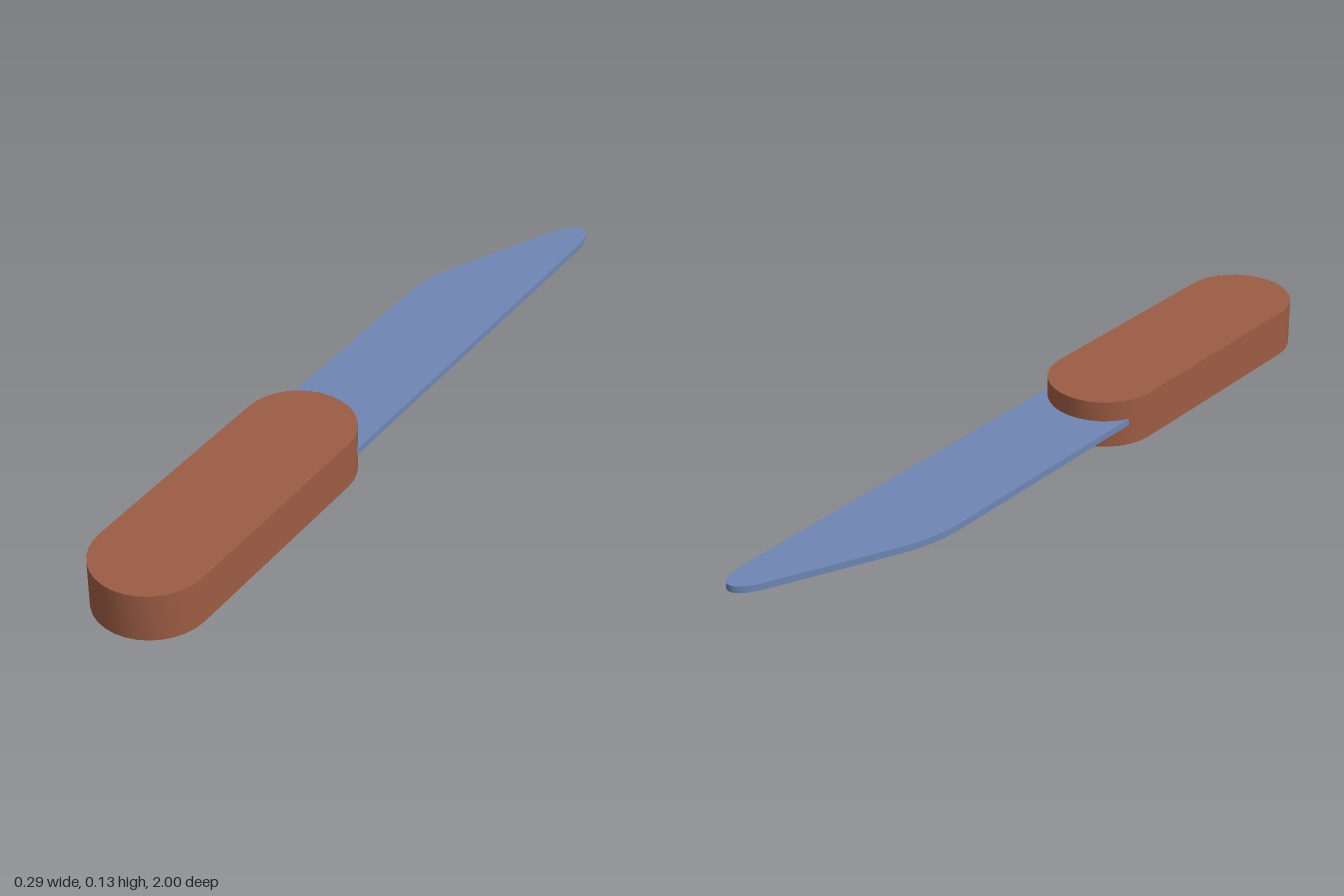
import * as THREE from 'three';
import { toCreasedNormals } from 'three/addons/utils/BufferGeometryUtils.js';

// Extrudes an outline drawn in (x, -z) upwards from y = bottom
function slab(name, shape, bottom, height, curveSegments, material) {
  const geometry = new THREE.ExtrudeGeometry(shape, { depth: height, bevelEnabled: false, curveSegments });
  geometry.rotateX(-Math.PI / 2);
  geometry.translate(0, bottom, 0);
  const mesh = new THREE.Mesh(toCreasedNormals(geometry, 0.7), material);
  mesh.name = name;
  return mesh;
}

export function createModel() {
  const brown = new THREE.MeshStandardMaterial({ color: 0x9c5c43 });
  brown.name = 'brown handle';
  const steel = new THREE.MeshStandardMaterial({ color: 0x6f86b4 });
  steel.name = 'blue steel';

  const group = new THREE.Group();
  group.name = 'knife';

  // Handle: a straight bar with half-round ends
  const r = 0.146;
  const grip = new THREE.Shape();
  grip.absarc(0, -0.112 - r, r, 0, Math.PI, false);
  grip.absarc(0, -1 + r, r, Math.PI, Math.PI * 2, false);
  grip.closePath();
  group.add(slab('handle', grip, 0, 0.128, 8, brown));

  // Blade: straight back, slanted edge and rounded tip, set into the handle
  const edge = new THREE.Shape();
  edge.moveTo(-0.131, -0.3);
  edge.lineTo(0.135, -0.3);
  edge.lineTo(0.135, 0.9);
  edge.bezierCurveTo(0.135, 0.96, 0.125, 1, 0.1, 1);
  edge.bezierCurveTo(0.075, 1, 0.055, 0.97, 0.038, 0.932);
  edge.lineTo(-0.087, 0.65);
  edge.bezierCurveTo(-0.115, 0.59, -0.131, 0.53, -0.131, 0.46);
  edge.closePath();
  group.add(slab('blade', edge, 0.056, 0.018, 10, steel));

  return group;
}
